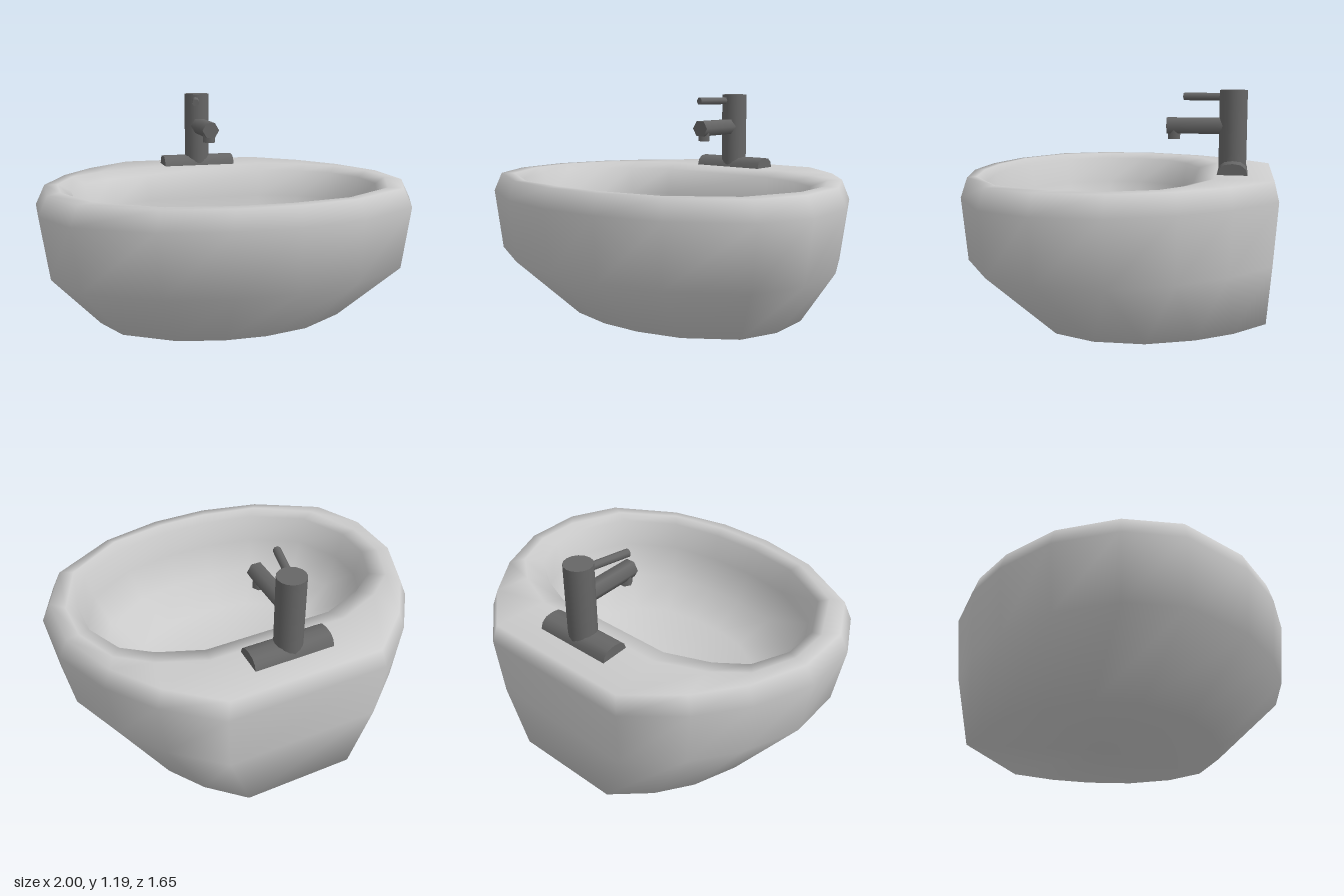
import * as THREE from 'three';
import { mergeVertices, toCreasedNormals } from 'three/addons/utils/BufferGeometryUtils.js';

const ceramic = new THREE.MeshStandardMaterial({ color: 0xcccccc });
const metal = new THREE.MeshStandardMaterial({ color: 0x666666 });

// Right halves of the outlines, [x, z] from back to front
const outer = [[0.43, -0.827], [0.69, -0.61], [0.87, -0.37], [1, -0.06],
  [1, 0.27], [0.87, 0.54], [0.51, 0.75], [0.165, 0.825]];
const opening = [[0.35, -0.4], [0.58, -0.31], [0.73, -0.2], [0.82, 0],
  [0.82, 0.21], [0.7, 0.47], [0.42, 0.64], [0.13, 0.69]];

// Closed ring: a mirrored outline with x scaled and z stretched to a new range
function ring(half, scaleX, zBack, zFront, y) {
  const z0 = half[0][1], z1 = half[half.length - 1][1];
  const right = half.map(([x, z]) =>
    [x * scaleX, y, zBack + (z - z0) / (z1 - z0) * (zFront - zBack)]);
  const left = right.map(([x, h, z]) => [-x, h, z]).reverse();
  return [...right, ...left];
}

// Smooth skin through successive rings
function loft(rings) {
  const n = rings[0].length, index = [];
  for (let i = 0; i < rings.length - 1; i++) {
    for (let j = 0; j < n; j++) {
      const a = i * n + j, b = i * n + (j + 1) % n;
      index.push(a, a + n, b, b, a + n, b + n);
    }
  }
  const g = new THREE.BufferGeometry();
  g.setAttribute('position', new THREE.Float32BufferAttribute(rings.flat(2), 3));
  g.setIndex(index);
  const merged = mergeVertices(g);
  merged.computeVertexNormals();
  return merged;
}

function add(group, name, geometry, material) {
  const mesh = new THREE.Mesh(geometry, material);
  mesh.name = name;
  group.add(mesh);
  return mesh;
}

// Cylinder between two points, with a corner on its x side
function rod(group, name, from, to, radius, sides) {
  const a = new THREE.Vector3(...from), b = new THREE.Vector3(...to);
  const dir = b.clone().sub(a);
  const g = new THREE.CylinderGeometry(radius, radius, dir.length(), sides).rotateY(Math.PI / 2);
  const mesh = add(group, name, g, metal);
  mesh.position.copy(a).add(b).multiplyScalar(0.5);
  mesh.quaternion.setFromUnitVectors(new THREE.Vector3(0, 1, 0), dir.normalize());
}

export function createModel() {
  const model = new THREE.Group();
  model.name = 'washbasin';

  // One skin: underside centre, outer wall, rim, then down into the bowl
  add(model, 'basin', loft([
    ring(outer, 0, -0.16, -0.16, 0),
    ring(outer, 0.69, -0.785, 0.46, 0),
    ring(outer, 0.953, -0.805, 0.8, 0.33),
    ring(outer, 1, -0.827, 0.825, 0.655),
    ring(outer, 0.953, -0.803, 0.795, 0.755),
    ring(opening, 1.08, -0.51, 0.74, 0.757),
    ring(opening, 1, -0.4, 0.69, 0.728),
    ring(opening, 0.955, -0.375, 0.66, 0.58),
    ring(opening, 0.86, -0.33, 0.59, 0.4),
    ring(opening, 0.64, -0.25, 0.42, 0.27),
    ring(opening, 0, 0.08, 0.08, 0.22),
  ]), ceramic);

  // Drain: octagonal collar with a plug in it
  const drain = new THREE.Group();
  drain.name = 'drain';
  drain.position.set(0, 0.235, -0.12);
  const collar = [[0.082, -0.02], [0.082, 0.015], [0.065, 0.028], [0.05, 0.025], [0.046, 0.01]]
    .map(([r, y]) => new THREE.Vector2(r, y));
  add(drain, 'drainCollar', toCreasedNormals(new THREE.LatheGeometry(collar, 8), 0.6), metal);
  add(drain, 'drainPlug', new THREE.CylinderGeometry(0.046, 0.046, 0.04, 8), metal);
  model.add(drain);

  const tap = new THREE.Group();
  tap.name = 'tap';

  // Domed base plate, extruded across the deck
  const section = new THREE.Shape([[-0.08, 0], [0.08, 0], [0.068, 0.035], [0.042, 0.056],
    [0, 0.062], [-0.042, 0.056], [-0.068, 0.035]].map(([x, y]) => new THREE.Vector2(x, y)));
  const plate = new THREE.ExtrudeGeometry(section, { depth: 0.43, bevelEnabled: false });
  plate.translate(0, 0, -0.215).rotateY(Math.PI / 2);
  add(tap, 'tapBase', toCreasedNormals(plate, 0.7), metal).position.set(0.002, 0.753, -0.597);

  // Body, six-sided spout with nozzle, and lever
  rod(tap, 'tapBody', [0, 0.77, -0.595], [0, 1.188, -0.595], 0.074, 16);
  rod(tap, 'spout', [0, 0.997, -0.58], [0, 0.997, -0.24], 0.049, 6);
  rod(tap, 'nozzle', [0, 0.98, -0.28], [0, 0.925, -0.28], 0.036, 6);
  rod(tap, 'lever', [-0.01, 1.151, -0.58], [-0.068, 1.151, -0.327], 0.021, 8);
  model.add(tap);

  return model;
}
